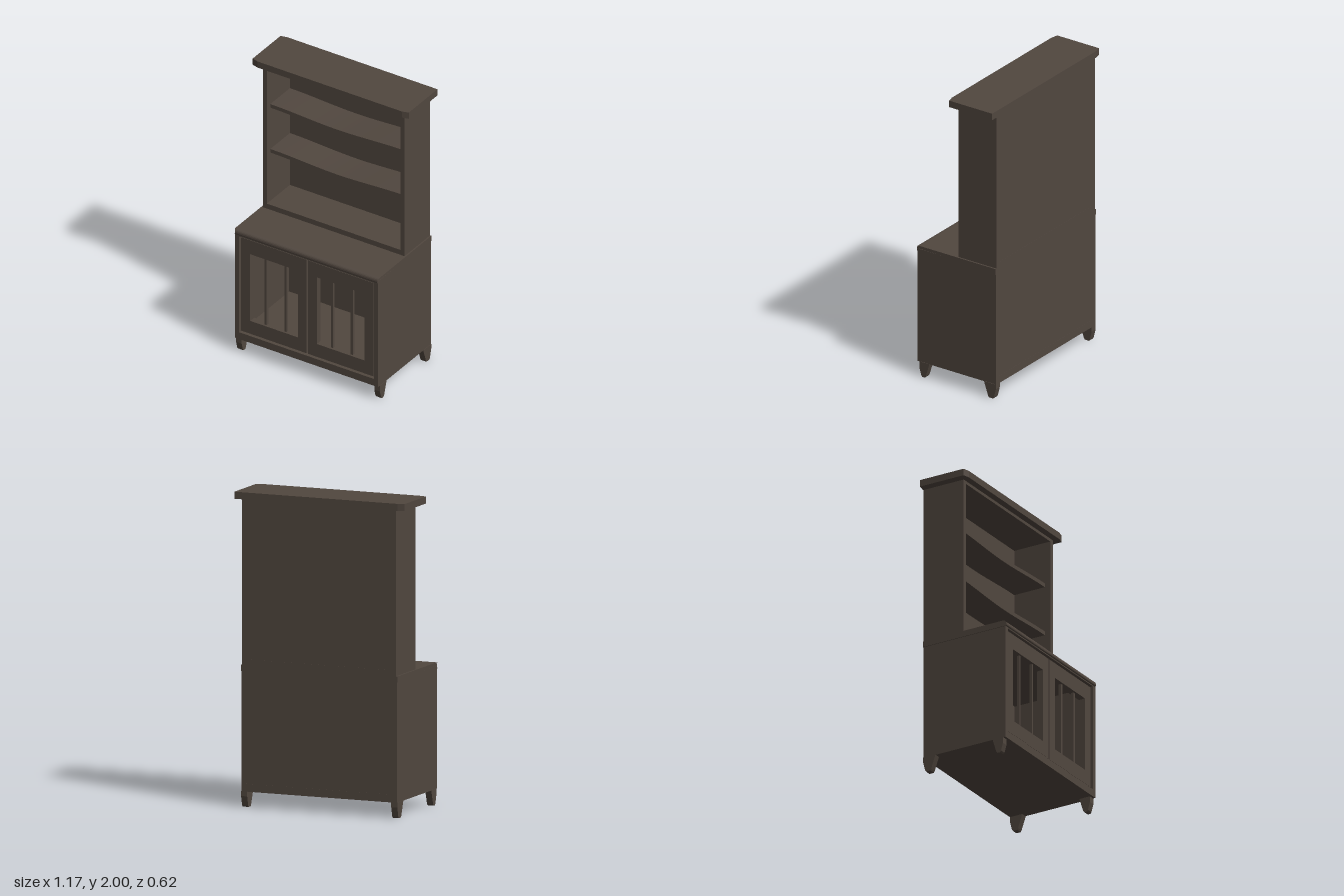
import * as THREE from 'three';

const wood = new THREE.MeshStandardMaterial({ color: 0x51473f });
wood.name = 'dark wood';

export function createModel() {
  const root = new THREE.Group();
  root.name = 'dresser';

  const add = (name, geo, parent = root) => {
    const mesh = new THREE.Mesh(geo, wood);
    mesh.name = name;
    parent.add(mesh);
    return mesh;
  };
  // box from min and max corners
  const box = (name, x0, x1, y0, y1, z0, z1, parent) => {
    const geo = new THREE.BoxGeometry(x1 - x0, y1 - y0, z1 - z0);
    geo.translate((x0 + x1) / 2, (y0 + y1) / 2, (z0 + z1) / 2);
    return add(name, geo, parent);
  };
  const corners = (x0, x1, y0, y1) =>
    [[x0, y0], [x1, y0], [x1, y1], [x0, y1]].map(([x, y]) => new THREE.Vector2(x, y));
  // rectangular frame with one opening, running from z0 to z1
  const frame = (name, outer, hole, z0, z1, parent) => {
    const shape = new THREE.Shape(corners(...outer));
    shape.holes.push(new THREE.Path(corners(...hole)));
    const geo = new THREE.ExtrudeGeometry(shape, { depth: z1 - z0, bevelEnabled: false });
    geo.translate(0, 0, z0);
    return add(name, geo, parent);
  };

  // lower cabinet
  frame('lowerCarcass', [-0.535, 0.535, 0.1, 0.88], [-0.505, 0.505, 0.15, 0.86], -0.305, 0.3);
  box('lowerBack', -0.505, 0.505, 0.15, 0.86, -0.304, -0.275);

  // worktop with a rounded front edge
  const top = new THREE.Shape();
  top.moveTo(-0.305, 0.865);
  top.lineTo(0.295, 0.865);
  top.quadraticCurveTo(0.307, 0.868, 0.307, 0.88);
  top.quadraticCurveTo(0.307, 0.904, 0.28, 0.904);
  top.lineTo(-0.305, 0.904);
  const topGeo = new THREE.ExtrudeGeometry(top, { depth: 1.08, bevelEnabled: false, curveSegments: 5 });
  topGeo.rotateY(-Math.PI / 2).translate(0.54, 0, 0);
  const tp = topGeo.attributes.position;
  for (let i = 0; i < tp.count; i++) {
    if (tp.getZ(i) > 0.3) tp.setX(i, Math.sign(tp.getX(i)) * 0.532);
  }
  add('worktop', topGeo);

  // two doors, each with a barred opening
  for (const s of [-1, 1]) {
    const door = new THREE.Group();
    door.name = s > 0 ? 'leftDoor' : 'rightDoor';
    root.add(door);
    const span = (a, b) => (s > 0 ? [a, b] : [-b, -a]);
    frame('doorFrame', [...span(0.006, 0.496), 0.16, 0.85], [...span(0.07, 0.428), 0.255, 0.748], 0.245, 0.29, door);
    for (const x of [0.174, 0.322]) {
      box('doorBar', ...span(x - 0.008, x + 0.008), 0.25, 0.752, 0.258, 0.276, door);
    }
  }

  // upper hutch
  frame('upperCarcass', [-0.53, 0.53, 0.9, 1.957], [-0.5, 0.5, 0.94, 1.935], -0.305, -0.01);
  box('upperBack', -0.5, 0.5, 0.94, 1.935, -0.304, -0.275);

  // shelves sagging towards the middle
  for (const y of [1.31, 1.642]) {
    const geo = new THREE.BoxGeometry(1, 0.026, 0.228, 12, 1, 1);
    const p = geo.attributes.position;
    for (let i = 0; i < p.count; i++) {
      const x = p.getX(i);
      p.setY(i, p.getY(i) - 0.018 * Math.cos(x * Math.PI) ** 2 * (Math.abs(x) < 0.5 ? 1 : 0));
    }
    geo.computeVertexNormals();
    geo.translate(0, y, -0.164);
    add('shelf', geo);
  }

  // cornice with clipped corners
  const cornice = new THREE.Shape([
    [-0.585, -0.298], [-0.54, -0.308], [0.583, -0.308],
    [0.583, 0.022], [0.54, 0.034], [-0.54, 0.034], [-0.585, 0.022],
  ].map(([x, z]) => new THREE.Vector2(x, z)));
  const corniceGeo = new THREE.ExtrudeGeometry(cornice, { depth: 0.045, bevelEnabled: false });
  corniceGeo.rotateX(Math.PI / 2).translate(0, 2, 0);
  add('cornice', corniceGeo);

  // tapered feet
  const foot = (name, s, profile) => {
    const shape = new THREE.Shape(profile.map(([z, y]) => new THREE.Vector2(z, y)));
    const geo = new THREE.ExtrudeGeometry(shape, { depth: 0.042, bevelEnabled: false });
    geo.rotateY(-Math.PI / 2).translate(s * 0.517 + 0.021, 0, 0);
    add(name, geo);
  };
  for (const s of [-1, 1]) {
    foot('frontFoot', s, [[0.262, 0], [0.27, 0.01], [0.284, 0.06], [0.284, 0.102], [0.207, 0.102], [0.235, 0.01], [0.243, 0]]);
    foot('backFoot', s, [[-0.245, 0.01], [-0.213, 0.102], [-0.305, 0.102], [-0.305, 0.07], [-0.29, 0.01], [-0.283, 0], [-0.25, 0]].reverse());
  }

  return root;
}
